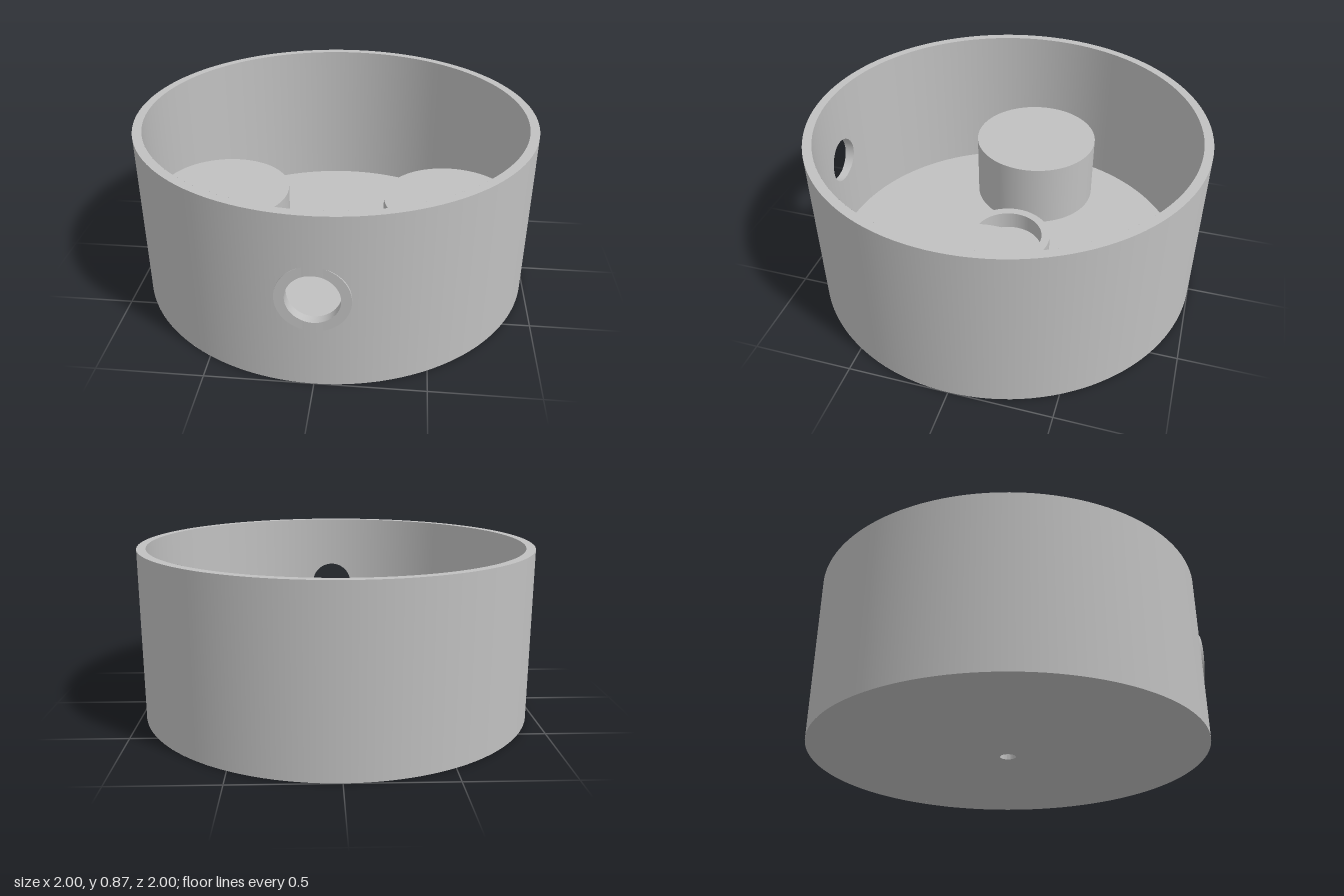
import * as THREE from 'three';
import { toCreasedNormals } from 'three/addons/utils/BufferGeometryUtils.js';
import { ParametricGeometry } from 'three/addons/geometries/ParametricGeometry.js';

const H = 0.865, OUTER = 1, INNER = 0.955, FLOOR = 0.045;
const HOLE_R = 0.12, HOLE_Y = 0.46;
const PATCH = 0.3; // half angle of the wall section holding the side hole

// Round plate or tube along +z, optionally with a bore
function disc(radius, bore, depth) {
  const shape = new THREE.Shape().absarc(0, 0, radius, 0, Math.PI * 2);
  if (bore) shape.holes.push(new THREE.Path().absarc(0, 0, bore, 0, Math.PI * 2, true));
  const geo = new THREE.ExtrudeGeometry(shape, { depth, bevelEnabled: false, curveSegments: 96 });
  return toCreasedNormals(geo, 0.5);
}

// Upright version standing on height y
function upright(radius, bore, y, height) {
  return disc(radius, bore, height).rotateX(-Math.PI / 2).translate(0, y, 0);
}

// Curved wall section around the side hole, blending circle to rectangle
function wallPatch(R) {
  return new ParametricGeometry((u, v, p) => {
    const a = u * Math.PI * 2, c = Math.cos(a), s = Math.sin(a);
    const m = Math.max(Math.abs(c), Math.abs(s));
    const theta = THREE.MathUtils.lerp(Math.asin(HOLE_R * c / R), PATCH * c / m, 1 - v);
    const y = THREE.MathUtils.lerp(HOLE_Y + HOLE_R * s, H / 2 * (1 + s / m), 1 - v);
    p.set(R * Math.sin(theta), y, R * Math.cos(theta));
  }, 64, 8);
}

// Straight tunnel between the inner and outer wall faces
function tunnel() {
  return new ParametricGeometry((u, v, p) => {
    const a = u * Math.PI * 2, x = HOLE_R * Math.cos(a);
    const R = THREE.MathUtils.lerp(INNER, OUTER, v);
    p.set(x, HOLE_Y + HOLE_R * Math.sin(a), Math.sqrt(R * R - x * x));
  }, 64, 1);
}

export function createModel() {
  const group = new THREE.Group();
  const grey = new THREE.MeshStandardMaterial({ color: 0xc0c0c0, side: THREE.DoubleSide });
  grey.name = 'grey';
  const add = (name, geo) => {
    const mesh = new THREE.Mesh(geo, grey);
    mesh.name = name;
    group.add(mesh);
  };

  // Cylindrical wall with its front hole
  for (const [name, R] of [['outer', OUTER], ['inner', INNER]]) {
    const wall = new THREE.CylinderGeometry(R, R, H, 112, 1, true, PATCH, Math.PI * 2 - PATCH * 2);
    wall.translate(0, H / 2, 0);
    if (name === 'inner') { // turn the inside face towards the centre
      wall.index.array.reverse();
      const n = wall.attributes.normal;
      for (let i = 0; i < n.count; i++) n.setXYZ(i, -n.getX(i), 0, -n.getZ(i));
    }
    add(name + 'Wall', wall);
    const patch = wallPatch(R);
    // Set radial normals and a matching winding order
    const sign = name === 'outer' ? 1 : -1;
    const { position: p, normal: n } = patch.attributes;
    for (let i = 0; i < n.count; i++) n.setXYZ(i, sign * p.getX(i) / R, 0, sign * p.getZ(i) / R);
    const [i0, i1, i2] = [0, 1, 2].map(k => new THREE.Vector3().fromBufferAttribute(p, patch.index.getX(k)));
    const facing = i1.sub(i0).cross(i2.sub(i0)).z;
    if (facing * sign < 0) patch.index.array.reverse();
    add(name + 'WallFront', patch);
  }
  add('sideHole', tunnel());

  // Flat rim and underside edge
  add('rim', new THREE.RingGeometry(INNER, OUTER, 128).rotateX(-Math.PI / 2).translate(0, H, 0));
  add('bottomEdge', new THREE.RingGeometry(INNER, OUTER, 128).rotateX(Math.PI / 2));

  // Flat collar around the side hole
  add('holeCollar', disc(0.165, HOLE_R, 0.029).translate(0, HOLE_Y, 0.97));

  // Floor with its centre hole and raised ring
  add('floor', upright(INNER, 0.04, 0, FLOOR));
  add('centreRing', upright(0.23, 0.185, FLOOR, 0.1));

  // Pair of round pillars
  for (const side of [-1, 1]) {
    add(side > 0 ? 'leftPillar' : 'rightPillar',
      upright(0.345, 0, FLOOR, 0.41 - FLOOR).translate(side * 0.6, 0, 0));
  }
  return group;
}
